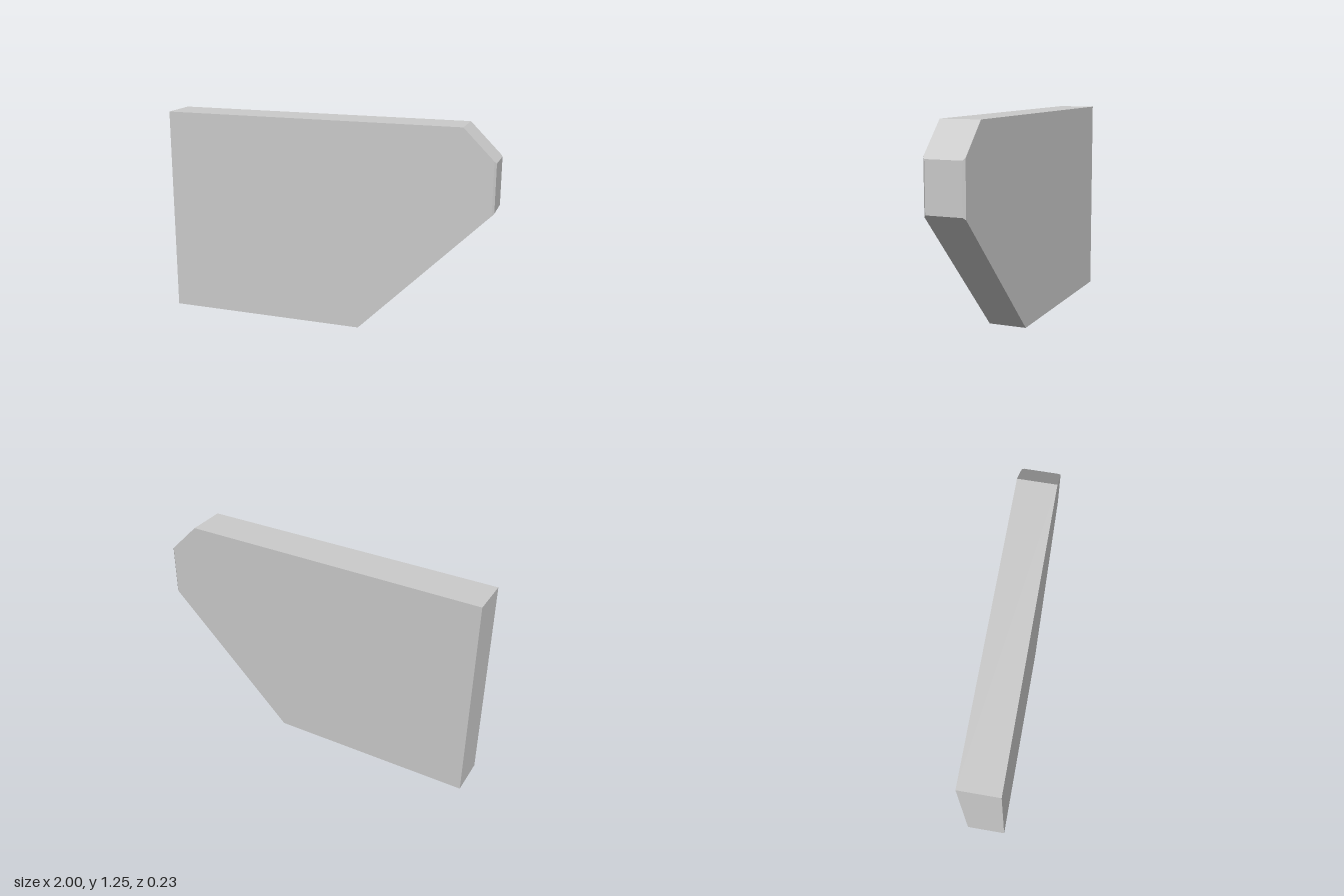
import * as THREE from 'three';
import { ConvexGeometry } from 'three/addons/geometries/ConvexGeometry.js';

const HEIGHT = 1.253, HALF_DEPTH = 0.117, BEVEL = 0.012;
const NOSE_LOW = 0.78, NOSE_HIGH = 1.063;

export function createModel() {
  const group = new THREE.Group();
  const points = [];

  for (const side of [-1, 1]) {
    const z = side * HALF_DEPTH;
    // Broad face: square at one end, 45 degree cuts at the other
    const outline = [
      [-1, 0], [1 - NOSE_LOW, 0],
      [1 - BEVEL, NOSE_LOW - BEVEL], [1 - BEVEL, NOSE_HIGH + BEVEL],
      [1 - (HEIGHT - NOSE_HIGH), HEIGHT], [-1, HEIGHT],
    ];
    for (const [x, y] of outline) points.push(new THREE.Vector3(x, y, z));

    // Narrow end, inset to leave a small bevel along its upright edges
    for (const y of [NOSE_LOW, NOSE_HIGH]) {
      points.push(new THREE.Vector3(1, y, z - side * BEVEL));
    }
  }

  const plate = new THREE.Mesh(
    new ConvexGeometry(points),
    new THREE.MeshStandardMaterial({ color: 0xcccccc, flatShading: true })
  );
  plate.name = 'clippedPlate';
  group.add(plate);
  return group;
}
